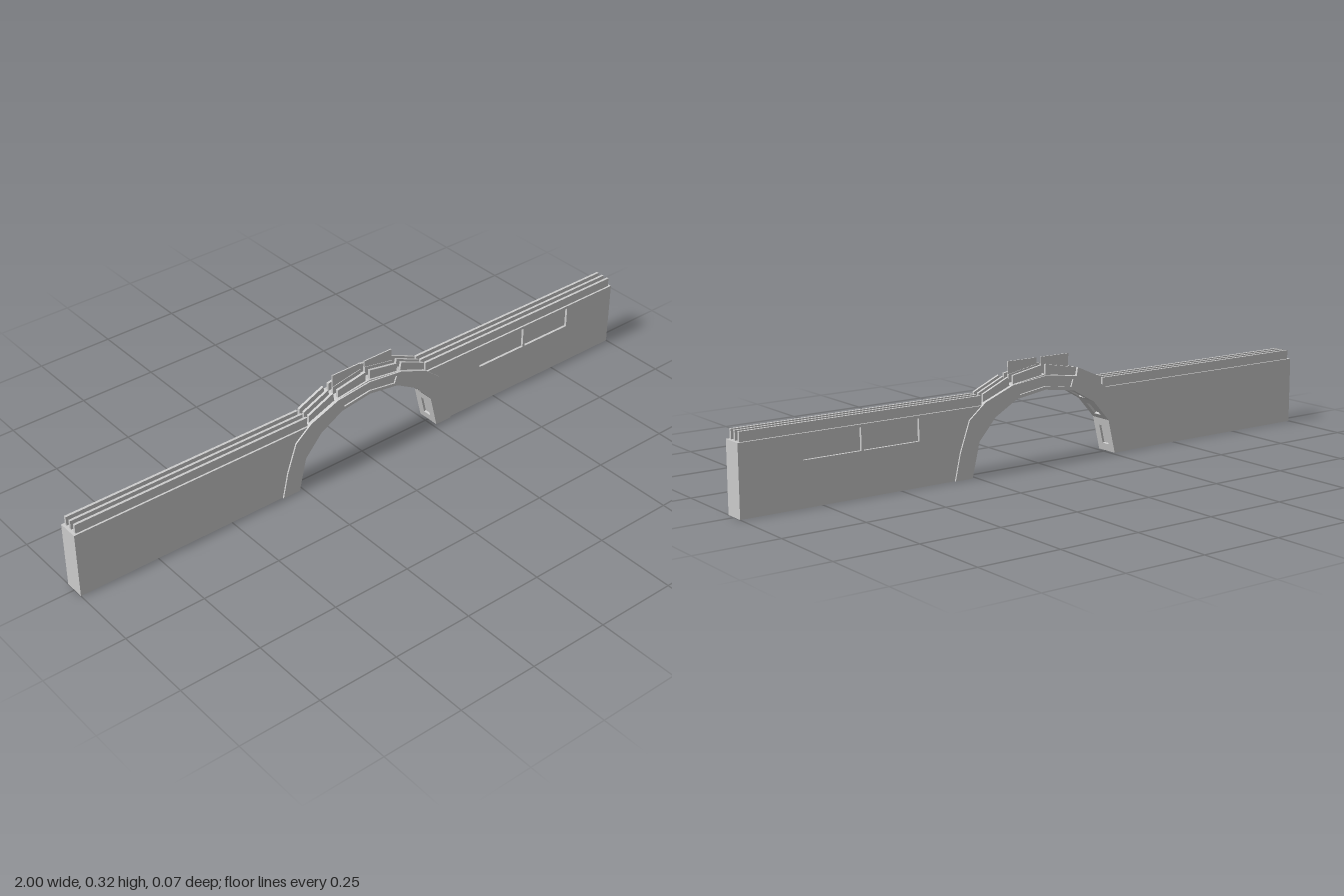
import * as THREE from 'three';

const material = new THREE.MeshStandardMaterial({ color: 0xcccccc, flatShading: true });

// Half profiles of the arch, from the foot up to the crown
const INNER = [[0.262, 0], [0.237, 0.104], [0.18, 0.168], [0.104, 0.211], [0, 0.226]];
const OUTER = [[0.32, 0], [0.302, 0.08], [0.27, 0.17], [0.215, 0.215], [0.118, 0.253], [0, 0.267]];
const ROOF = [[1, 0], [1, 0.206], [0.222, 0.206], [0.215, 0.215], [0.118, 0.253], [0, 0.27]];

const flip = pts => pts.map(([x, y]) => [-x, y]);
// Full left-to-right line from a half profile
const span = half => [...flip(half), ...half.slice(0, -1).reverse()];
const vectors = pts => pts.map(([x, y]) => new THREE.Vector2(x, y));

// Cut a shallow slot into every facet of a line
function notched(line, depth) {
  const out = [];
  line.forEach(([x, y], i) => {
    out.push([x, y]);
    if (i === line.length - 1) return;
    const dx = line[i + 1][0] - x, dy = line[i + 1][1] - y;
    const len = Math.hypot(dx, dy), nx = -dy / len * depth, ny = dx / len * depth;
    const at = (t, k) => [x + dx * t + nx * k, y + dy * t + ny * k];
    out.push(at(0.22, 0), at(0.22, 1), at(0.78, 1), at(0.78, 0));
  });
  return out;
}

function slab(name, pts, z0, z1, holes = []) {
  const shape = new THREE.Shape(vectors(pts));
  holes.forEach(h => shape.holes.push(new THREE.Path(vectors(h))));
  const geometry = new THREE.ExtrudeGeometry(shape, { depth: z1 - z0, bevelEnabled: false });
  geometry.translate(0, 0, z0);
  const mesh = new THREE.Mesh(geometry, material);
  mesh.name = name;
  return mesh;
}

const rect = (x0, x1, y0, y1) => [[x0, y0], [x1, y0], [x1, y1], [x0, y1]];

export function createModel() {
  const model = new THREE.Group();
  model.name = 'archedWall';

  const inner = span(INNER);
  const outline = line => [...span(ROOF), ...line.slice().reverse()];

  // Wall core, slotted on the underside of the arch
  model.add(slab('wallCore', outline(notched(inner, 0.007)), -0.014, 0.014));

  const windows = [];
  for (const s of [-1, 1]) {
    windows.push(rect(s * 0.438, s * 0.618, 0.132, 0.198));
    windows.push(rect(s * 0.626, s * 0.806, 0.132, 0.198));
  }
  const band = [...span(OUTER), ...inner.slice().reverse()];
  const panel = [
    ...span([[0.094, 0.222], [0, 0.236]]),
    ...span([[0.102, 0.245], [0, 0.257]]).reverse(),
  ];

  // Layers on both faces: backing, windowed skin, raised arch band
  for (const s of [-1, 1]) {
    const layer = (name, pts, a, b, holes) =>
      model.add(slab(name, pts, Math.min(s * a, s * b), Math.max(s * a, s * b), holes));
    layer('wallBacking', outline(inner), 0.014, 0.024);
    layer('wallSkin', outline(inner), 0.024, 0.032, windows);
    layer('archBand', band, 0.032, 0.037, [panel]);
  }

  // Three parallel rails along the walls and over the arch
  const wallRail = rect(0.222, 0.992, 0.204, 0.234);
  const slopeRail = [[0.216, 0.205], [0.216, 0.237], [0.128, 0.276], [0.122, 0.245]];
  const crownRail = [[0.11, 0.25], [0.11, 0.279], [0.008, 0.298], [0.008, 0.262]];
  const crownFin = rect(0.008, 0.11, 0.25, 0.317);
  for (const side of [p => p, flip]) {
    for (const z of [-0.022, 0, 0.022]) {
      model.add(slab('wallRail', side(wallRail), z - 0.004, z + 0.004));
      model.add(slab('slopeRail', side(slopeRail), z - 0.004, z + 0.004));
      model.add(slab('crownRail', side(crownRail), z - 0.004, z + 0.004));
    }
    model.add(slab('crownFin', side(crownFin), -0.002, 0.002));
  }
  return model;
}
